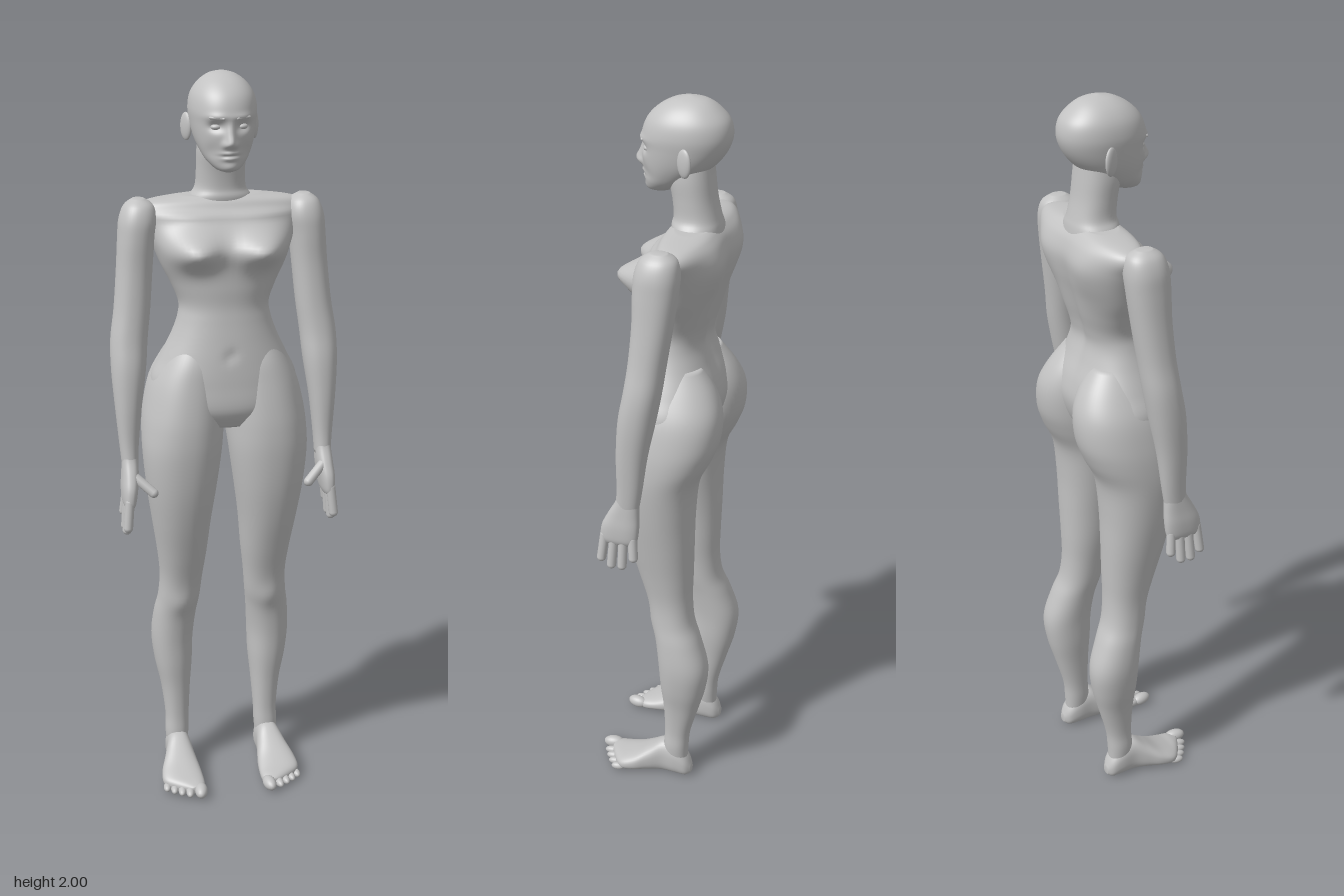
import * as THREE from 'three';

const skin = new THREE.MeshStandardMaterial({ color: 0xc2c2c2 });
skin.name = 'plain grey';

// Catmull-Rom blend of four numbers
const blend = (a, b, c, d, t) =>
  0.5 * (2 * b + (c - a) * t + (2 * a - 5 * b + 4 * c - d) * t * t + (3 * b - a - 3 * c + d) * t * t * t);

// Smooth skin through rows [t, x0, x1, v0, v1]; t runs up y, or backwards along z when alongZ.
// Bumps [x, y, sizeX, sizeY, amount, side] push the front (1) or back (-1) out or in.
function loft(rows, { seg = 40, steps = 5, power = 2.2, alongZ = false, bumps = [] } = {}) {
  const pos = [], index = [], last = rows.length - 1, rings = last * steps;
  const row = i => rows[Math.min(last, Math.max(0, i))];
  const add = (x, t, v) => alongZ ? pos.push(x, v, t) : pos.push(x, t, v);
  const bend = (c) => Math.sign(c) * Math.abs(c) ** (2 / power);
  for (let i = 0; i <= rings; i++) {
    const k = Math.min(last - 1, Math.floor(i / steps)), f = i / steps - k;
    const [t, x0, x1, v0, v1] = rows[0].map((_, n) =>
      blend(row(k - 1)[n], row(k)[n], row(k + 1)[n], row(k + 2)[n], f));
    for (let j = 0; j < seg; j++) {
      const a = (j / seg) * Math.PI * 2, s = Math.sin(a);
      const x = (x0 + x1) / 2 + (x1 - x0) / 2 * bend(Math.cos(a));
      let v = (v0 + v1) / 2 + (v1 - v0) / 2 * bend(s);
      for (const [bx, by, sx, sy, amount, side] of bumps) {
        const w = THREE.MathUtils.smoothstep(s * side, 0, 0.5);
        v += side * amount * w * Math.exp(-0.5 * (((x - bx) / sx) ** 2 + ((t - by) / sy) ** 2));
      }
      add(x, t, v);
    }
  }
  for (let i = 0; i < rings; i++) for (let j = 0; j < seg; j++) {
    const n = (j + 1) % seg, a = i * seg + j, b = i * seg + n;
    index.push(a, a + seg, b, b, a + seg, b + seg);
  }
  // closed ends
  const first = pos.length / 3;
  for (const r of [rows[0], rows[last]]) add((r[1] + r[2]) / 2, r[0], (r[3] + r[4]) / 2);
  for (let j = 0; j < seg; j++) {
    const n = (j + 1) % seg;
    index.push(first, j, n, first + 1, rings * seg + n, rings * seg + j);
  }
  const g = new THREE.BufferGeometry();
  g.setAttribute('position', new THREE.Float32BufferAttribute(pos, 3));
  g.setIndex(index);
  g.computeVertexNormals();
  return g;
}

// Rounded rod between two points
function rod(a, b, r) {
  const p = new THREE.Vector3(...a), q = new THREE.Vector3(...b), d = q.clone().sub(p);
  const g = new THREE.CapsuleGeometry(r, d.length(), 6, 14);
  g.applyQuaternion(new THREE.Quaternion().setFromUnitVectors(new THREE.Vector3(0, 1, 0), d.normalize()));
  return g.translate(...p.add(q).multiplyScalar(0.5).toArray());
}

const ball = (x, y, z, rx, ry, rz, turn = 0) =>
  new THREE.SphereGeometry(1, 20, 14).scale(rx, ry, rz).rotateY(turn).translate(x, y, z);

function mirrored(geometry) {
  const g = geometry.clone().scale(-1, 1, 1), ix = g.index.array;
  for (let i = 0; i < ix.length; i += 3) [ix[i], ix[i + 1]] = [ix[i + 1], ix[i]];
  return g;
}

// Symmetric row and paired bumps
const even = rows => rows.map(([y, w, z0, z1]) => [y, -w, w, z0, z1]);
const pair = bumps => bumps.flatMap(b => b[0] ? [b, [-b[0], ...b.slice(1)]] : [b]);

export function createModel() {
  const model = new THREE.Group();
  const put = (name, g) => {
    const m = new THREE.Mesh(g, skin);
    m.name = name;
    model.add(m);
  };
  const both = (name, g) => {
    put('left' + name, g);
    put('right' + name, mirrored(g));
  };

  // Torso with bust, collarbones, shoulder blades and spine
  put('torso', loft(even([
    [1.08, 0.09, -0.08, 0.06], [1.13, 0.185, -0.125, 0.086], [1.2, 0.198, -0.148, 0.084],
    [1.26, 0.172, -0.142, 0.079], [1.32, 0.143, -0.122, 0.071], [1.37, 0.125, -0.11, 0.064],
    [1.41, 0.121, -0.116, 0.06], [1.46, 0.14, -0.13, 0.062], [1.51, 0.165, -0.142, 0.06],
    [1.56, 0.185, -0.153, 0.05], [1.61, 0.205, -0.158, 0.03], [1.65, 0.222, -0.148, 0.004],
    [1.673, 0.195, -0.133, -0.01], [1.685, 0.1, -0.12, -0.025],
  ]), {
    seg: 80, steps: 6, bumps: pair([
      [0.09, 1.558, 0.045, 0.03, 0.07, 1], [0.09, 1.64, 0.06, 0.008, 0.008, 1],
      [0, 1.28, 0.01, 0.012, -0.006, 1], [0, 1.42, 0.02, 0.12, -0.012, -1],
      [0.1, 1.6, 0.04, 0.05, 0.012, -1],
    ]),
  }));

  put('neck', loft(even([
    [1.64, 0.1, -0.14, -0.02], [1.68, 0.082, -0.136, -0.01], [1.705, 0.067, -0.13, -0.014],
    [1.75, 0.064, -0.12, -0.01], [1.8, 0.064, -0.114, 0], [1.84, 0.06, -0.11, 0],
  ])));

  // Head with sculpted brow, eye sockets, nose, lips and chin
  put('head', loft(even([
    [1.757, 0.012, 0.02, 0.045], [1.765, 0.032, -0.01, 0.058], [1.785, 0.052, -0.05, 0.062],
    [1.81, 0.066, -0.085, 0.064], [1.84, 0.077, -0.122, 0.067], [1.875, 0.084, -0.147, 0.069],
    [1.91, 0.087, -0.157, 0.068], [1.945, 0.08, -0.15, 0.054], [1.973, 0.061, -0.125, 0.026],
    [1.992, 0.034, -0.095, -0.01], [2.0, 0.004, -0.056, -0.048],
  ]), {
    seg: 112, steps: 9, power: 2.15, bumps: pair([
      [0, 1.833, 0.009, 0.012, 0.02, 1], [0, 1.858, 0.007, 0.016, 0.009, 1],
      [0.013, 1.828, 0.006, 0.006, 0.008, 1], [0.034, 1.872, 0.014, 0.009, -0.013, 1],
      [0.035, 1.896, 0.02, 0.006, 0.005, 1], [0, 1.806, 0.014, 0.004, 0.008, 1],
      [0, 1.793, 0.012, 0.004, 0.007, 1], [0, 1.8, 0.016, 0.0025, -0.004, 1],
      [0, 1.77, 0.014, 0.008, 0.004, 1], [0.045, 1.81, 0.012, 0.014, -0.004, 1],
    ]),
  }));
  both('Eye', ball(0.034, 1.871, 0.045, 0.014, 0.008, 0.012, 0.3));
  both('Brow', rod([0.018, 1.893, 0.069], [0.05, 1.895, 0.055], 0.0035));
  both('Ear', ball(0.09, 1.86, -0.066, 0.009, 0.036, 0.022, -0.45));

  // Arm from wrist to shoulder
  both('Arm', loft([
    [0.98, 0.245, 0.288, -0.008, 0.055], [1.04, 0.241, 0.293, -0.018, 0.05],
    [1.14, 0.23, 0.301, -0.032, 0.05], [1.24, 0.215, 0.307, -0.052, 0.044],
    [1.32, 0.207, 0.305, -0.066, 0.03], [1.4, 0.197, 0.293, -0.076, 0.02],
    [1.5, 0.188, 0.283, -0.09, 0.013], [1.58, 0.18, 0.277, -0.1, 0.013],
    [1.63, 0.172, 0.272, -0.103, 0.01], [1.665, 0.18, 0.258, -0.095, -0.004],
    [1.683, 0.205, 0.235, -0.07, -0.03],
  ]));

  // Hand: palm, four fingers and thumb
  both('Palm', loft([
    [0.875, 0.262, 0.288, 0.004, 0.09], [0.89, 0.256, 0.293, -0.006, 0.096],
    [0.925, 0.25, 0.294, -0.01, 0.092], [0.96, 0.246, 0.291, -0.01, 0.076],
    [1.0, 0.246, 0.288, -0.008, 0.054], [1.03, 0.25, 0.285, 0, 0.045],
  ], { power: 2.5 }));
  [[0.084, 0.092, 0.825], [0.058, 0.064, 0.808], [0.032, 0.034, 0.81], [0.006, 0.002, 0.84]]
    .forEach(([z0, z1, y], i) =>
      both('Finger' + (i + 1), rod([0.277, 0.895, z0], [0.284, y, z1], 0.0125)));
  both('Thumb', rod([0.262, 0.96, 0.058], [0.213, 0.918, 0.086], 0.013));

  // Leg from ankle through calf, knee and thigh to buttock
  both('Leg', loft([
    [0.03, 0.108, 0.16, -0.1, -0.03], [0.1, 0.1, 0.167, -0.102, -0.03],
    [0.16, 0.098, 0.166, -0.108, -0.033], [0.25, 0.092, 0.176, -0.132, -0.03],
    [0.33, 0.085, 0.192, -0.153, -0.023], [0.41, 0.082, 0.2, -0.16, -0.018],
    [0.49, 0.075, 0.194, -0.136, -0.008], [0.55, 0.067, 0.184, -0.113, 0.005],
    [0.62, 0.06, 0.18, -0.105, 0.02], [0.7, 0.05, 0.188, -0.106, 0.043],
    [0.8, 0.04, 0.203, -0.108, 0.07], [0.9, 0.026, 0.217, -0.11, 0.09],
    [1, 0.012, 0.226, -0.12, 0.1], [1.07, 0.004, 0.225, -0.152, 0.1],
    [1.13, 0, 0.217, -0.172, 0.094], [1.2, 0, 0.199, -0.174, 0.082],
    [1.26, 0.006, 0.168, -0.152, 0.068], [1.32, 0.025, 0.13, -0.11, 0.04],
  ], { seg: 56, bumps: [[0.125, 0.54, 0.025, 0.025, 0.007, 1]] }));

  // Foot and toes
  both('Foot', loft([
    [0.14, 0.092, 0.125, 0.006, 0.026], [0.118, 0.084, 0.165, 0, 0.035],
    [0.09, 0.083, 0.197, 0, 0.043], [0.05, 0.086, 0.197, 0, 0.06],
    [0.01, 0.093, 0.183, 0, 0.086], [-0.03, 0.099, 0.17, 0, 0.11],
    [-0.07, 0.1, 0.168, 0, 0.1], [-0.1, 0.108, 0.162, 0, 0.066],
    [-0.115, 0.125, 0.147, 0.01, 0.035],
  ], { alongZ: true, power: 2.5 }));
  [[0.1, 0.145, 0.018, 0.031], [0.13, 0.135, 0.012, 0.026], [0.151, 0.124, 0.0115, 0.024],
    [0.171, 0.112, 0.011, 0.022], [0.19, 0.098, 0.011, 0.02]]
    .forEach(([x, z, r, len], i) => both('Toe' + (i + 1), ball(x, r, z, r, r, len, 0.15)));

  return model;
}
